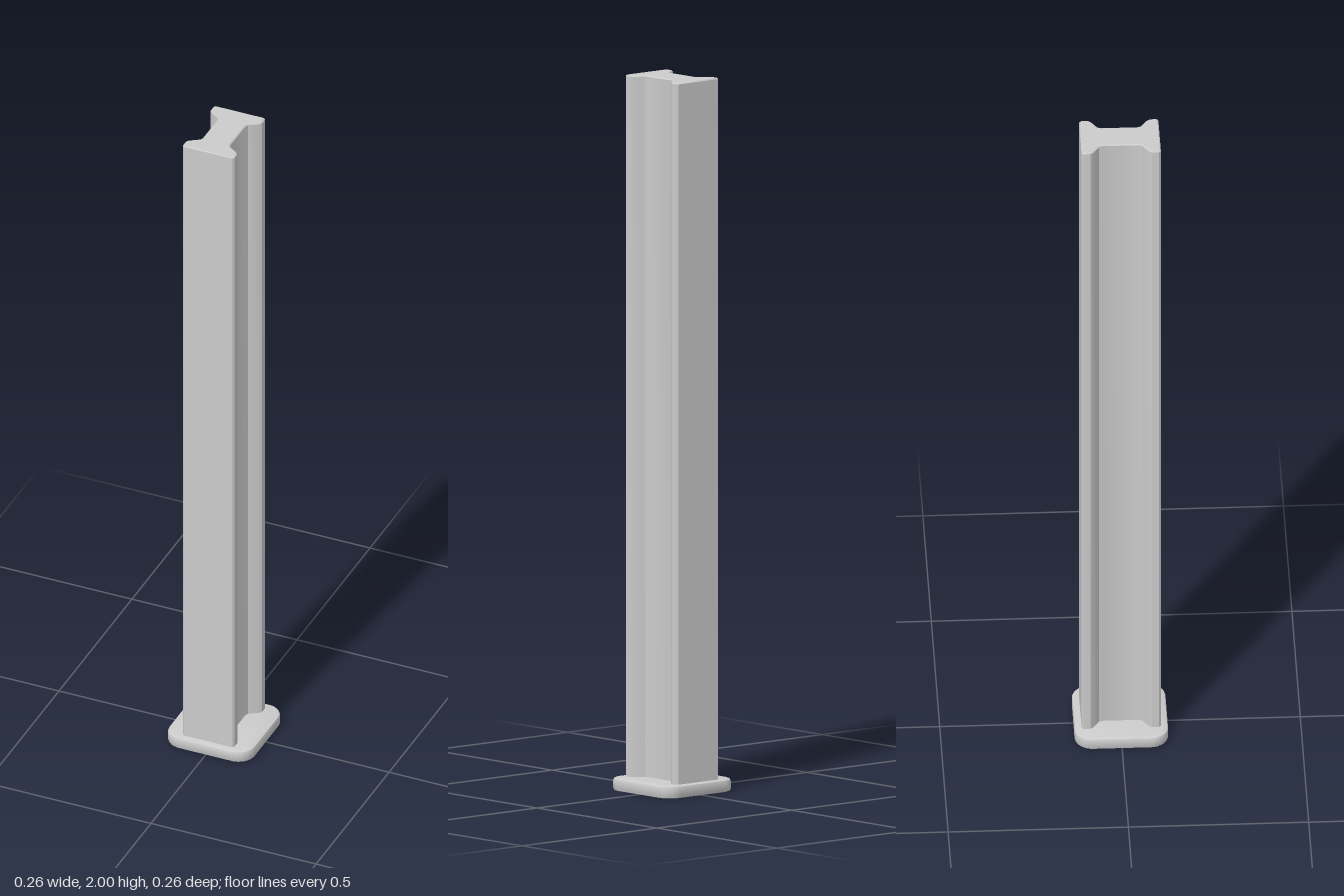
import * as THREE from 'three';
import { toCreasedNormals } from 'three/addons/utils/BufferGeometryUtils.js';

const material = new THREE.MeshStandardMaterial({ color: 0xcccccc });

// Upright prism with softened top and bottom edges, from y0 to y1
function prism(name, shape, y0, y1, bevel, bevelSegments, curveSegments) {
  const geometry = new THREE.ExtrudeGeometry(shape, {
    depth: y1 - y0 - 2 * bevel,
    bevelThickness: bevel,
    bevelSize: bevel,
    bevelOffset: -bevel,
    bevelSegments,
    curveSegments,
  });
  geometry.rotateX(-Math.PI / 2);
  geometry.translate(0, y0 + bevel, 0);
  const mesh = new THREE.Mesh(toCreasedNormals(geometry, 0.6), material);
  mesh.name = name;
  return mesh;
}

function roundedSquare(h, r) {
  const s = new THREE.Shape();
  s.absarc(h - r, h - r, r, 0, Math.PI / 2);
  s.absarc(r - h, h - r, r, Math.PI / 2, Math.PI);
  s.absarc(r - h, r - h, r, Math.PI, Math.PI * 1.5);
  s.absarc(h - r, r - h, r, Math.PI * 1.5, Math.PI * 2);
  s.closePath();
  return s;
}

// I-beam outline: one quarter, mirrored to all four
function beamOutline() {
  const quarter = [
    [0.042, 0.05], [0.046, 0.06], [0.072, 0.077], [0.078, 0.085],
    [0.078, 0.105], [0.073, 0.11],
  ];
  const back = [...quarter].reverse();
  const points = [
    ...quarter,
    ...back.map(([x, z]) => [-x, z]),
    ...quarter.map(([x, z]) => [-x, -z]),
    ...back.map(([x, z]) => [x, -z]),
  ];
  return new THREE.Shape(points.map(([x, z]) => new THREE.Vector2(x, z)));
}

export function createModel() {
  const group = new THREE.Group();
  group.name = 'beamColumn';
  group.add(prism('basePlate', roundedSquare(0.13, 0.05), 0, 0.035, 0.007, 2, 4));
  group.add(prism('beam', beamOutline(), 0.03, 2, 0.003, 1, 1));
  return group;
}
